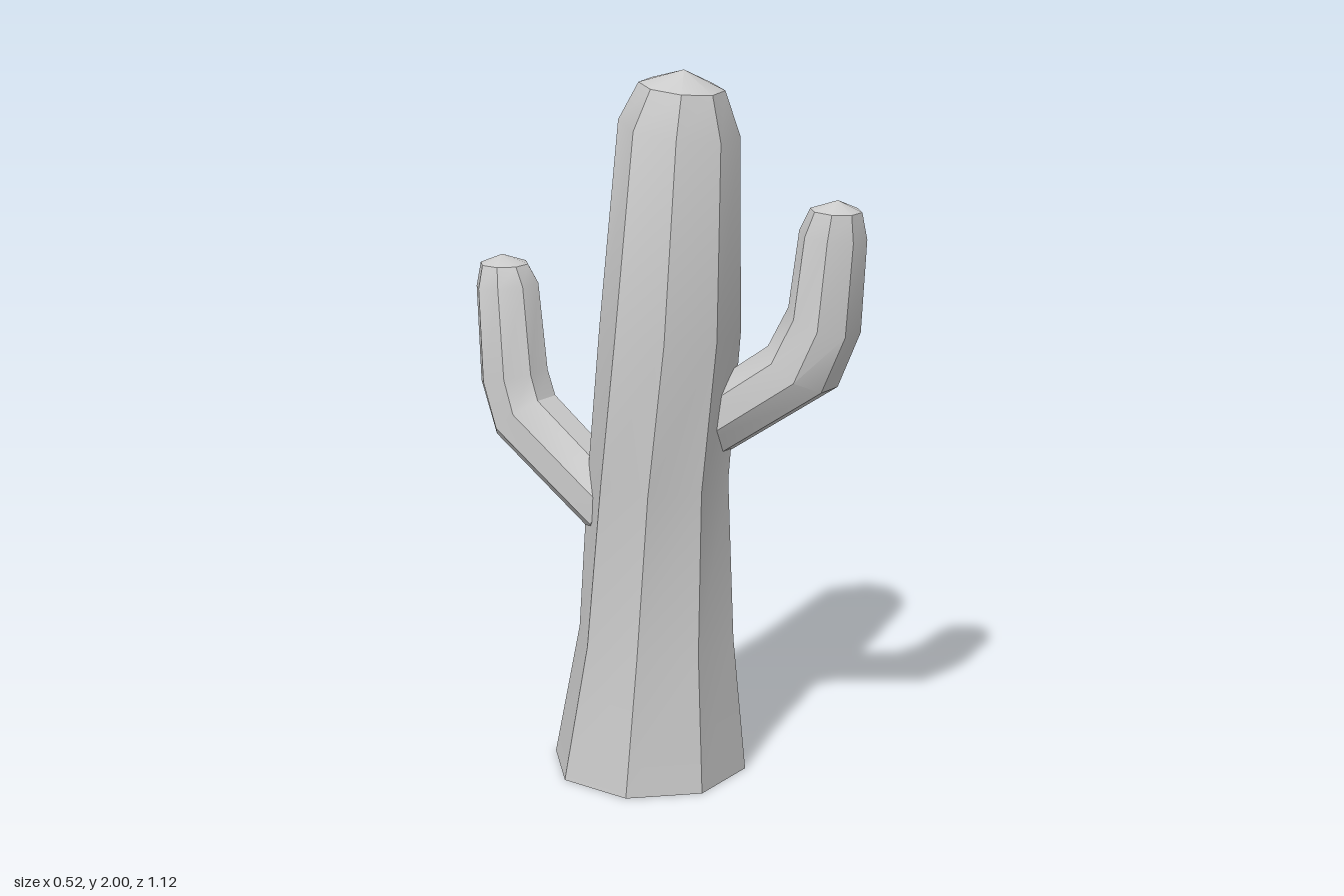
import * as THREE from 'three';
import { toCreasedNormals } from 'three/addons/utils/BufferGeometryUtils.js';

const SIDES = 8;
const material = new THREE.MeshStandardMaterial({ color: 0xcccccc });

// Closed eight-sided limb. Each ring is [x, y, z, radius, pitch, twist in degrees];
// pitch leans the ring towards +z. Both ends are closed with a fan.
function limb(name, rings, apex) {
  const points = [];
  const index = [];
  for (const [x, y, z, r, pitch, twist = 22.5] of rings) {
    for (let j = 0; j < SIDES; j++) {
      const a = THREE.MathUtils.degToRad(twist) + (j / SIDES) * Math.PI * 2;
      const side = r * Math.sin(a);
      points.push(x + r * Math.cos(a), y - side * Math.sin(pitch), z + side * Math.cos(pitch));
    }
  }
  const top = rings.length * SIDES;
  const bottom = top + 1;
  points.push(...apex, ...rings[0].slice(0, 3));

  const last = (rings.length - 1) * SIDES;
  for (let j = 0; j < SIDES; j++) {
    const k = (j + 1) % SIDES;
    for (let i = 0; i < last; i += SIDES) {
      index.push(i + j, i + SIDES + j, i + k);
      index.push(i + k, i + SIDES + j, i + SIDES + k);
    }
    index.push(last + j, top, last + k);
    index.push(bottom, j, k);
  }

  const geometry = new THREE.BufferGeometry();
  geometry.setAttribute('position', new THREE.Float32BufferAttribute(points, 3));
  geometry.setIndex(index);
  const mesh = new THREE.Mesh(toCreasedNormals(geometry, Math.PI / 6), material);
  mesh.name = name;
  return mesh;
}

export function createModel() {
  const cactus = new THREE.Group();
  cactus.name = 'cactus';

  // Trunk: flared foot, slight bend and twist, rounded tip
  cactus.add(limb('trunk', [
    [0, 0, -0.04, 0.281, 0, 22.5],
    [-0.01, 0.4, -0.01, 0.224, 0, 22.5],
    [-0.035, 0.87, 0.015, 0.196, 0, 17],
    [-0.055, 1.3, 0.07, 0.192, 0, 14],
    [-0.028, 1.845, 0.08, 0.163, 0.15, 12],
    [-0.03, 1.955, 0.09, 0.115, 0.12, 10],
  ], [-0.035, 2, 0.1]));

  // Front arm: grows out of the trunk and turns upwards
  cactus.add(limb('frontArm', [
    [0.04, 1.0, 0.1, 0.095, 0.93],
    [0.08, 1.22, 0.41, 0.108, 0.55],
    [0.105, 1.35, 0.46, 0.102, 0.32],
    [0.108, 1.58, 0.48, 0.091, 0.1],
    [0.105, 1.648, 0.49, 0.069, 0.05],
  ], [0.105, 1.675, 0.495]));

  // Back arm: lower on the trunk, mirrored lean
  cactus.add(limb('backArm', [
    [-0.08, 0.77, -0.1, 0.095, -0.96],
    [-0.08, 0.99, -0.415, 0.104, -0.67],
    [-0.08, 1.1, -0.455, 0.1, -0.23],
    [-0.08, 1.36, -0.475, 0.091, -0.1],
    [-0.08, 1.42, -0.485, 0.069, 0],
  ], [-0.08, 1.445, -0.492]));

  return cactus;
}
